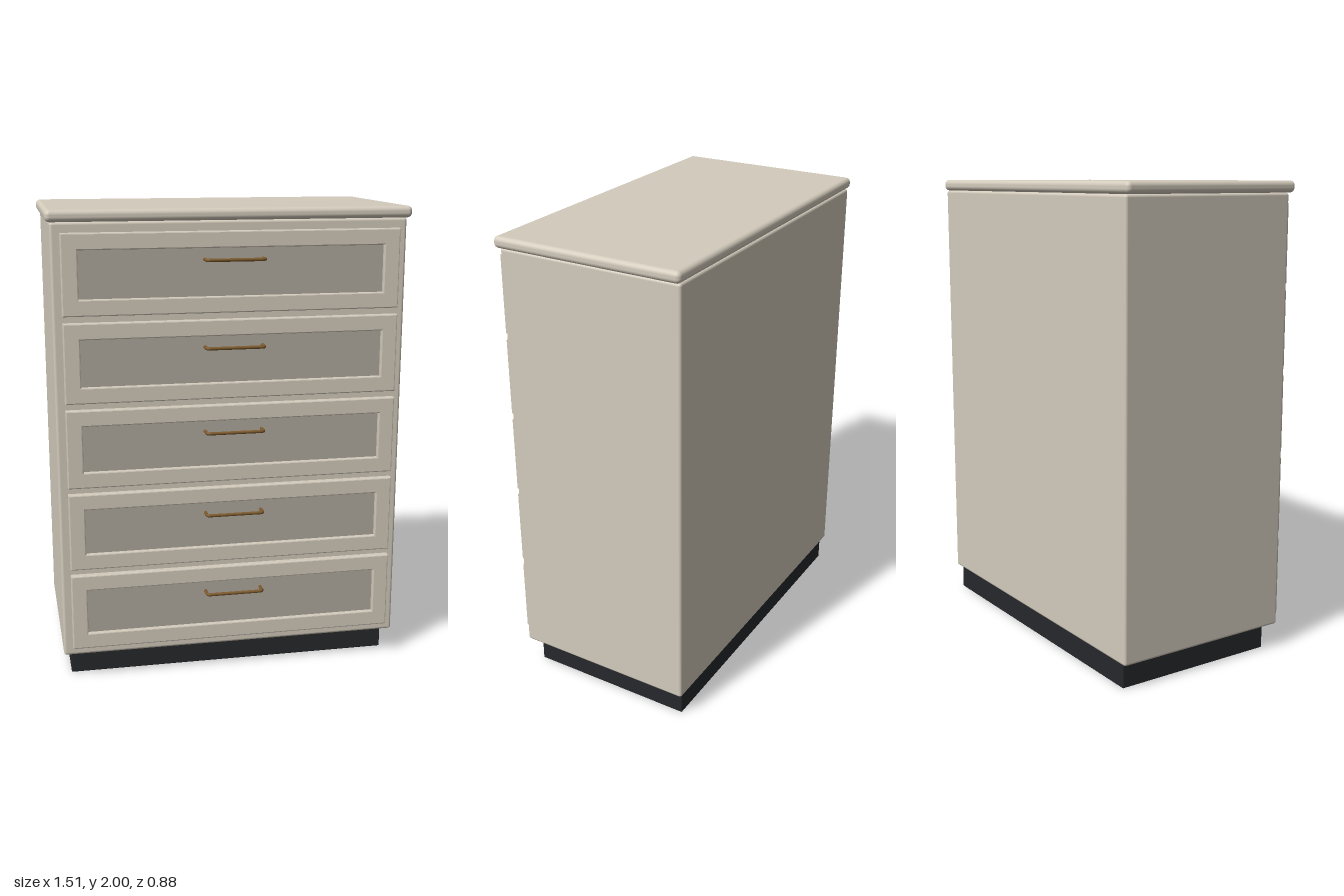
import * as THREE from 'three';
import { RoundedBoxGeometry } from 'three/addons/geometries/RoundedBoxGeometry.js';

const material = (color) => new THREE.MeshStandardMaterial({ color });

export function createModel() {
  const group = new THREE.Group();
  const paint = material(0xd3cbbc);
  const panelPaint = material(0xb1aa9e);
  const dark = material(0x26282b);
  const bronze = material(0x7d5a2c);

  const add = (parent, name, geometry, mat, x = 0, y = 0, z = 0) => {
    const mesh = new THREE.Mesh(geometry, mat);
    mesh.name = name;
    mesh.position.set(x, y, z);
    parent.add(mesh);
    return mesh;
  };
  // Rounded box given by its y and z extents, centred on x
  const block = (name, width, y0, y1, z0, z1, radius, mat) =>
    add(group, name, new RoundedBoxGeometry(width, y1 - y0, z1 - z0, 4, radius),
      mat, 0, (y0 + y1) / 2, (z0 + z1) / 2);

  block('plinth', 1.41, 0, 0.107, -0.42, 0.315, 0.004, dark);
  block('cabinetBody', 1.476, 0.107, 1.952, -0.435, 0.37, 0.012, paint);
  block('worktop', 1.512, 1.952, 2, -0.44, 0.39, 0.02, paint);

  // Drawer front: bevelled frame with a rectangular opening
  const W = 1.4, H = 0.33, inset = 0.067, bevel = 0.005, depth = 0.034;
  const rectangle = (path, w, h) => path
    .moveTo(-w / 2, -h / 2).lineTo(w / 2, -h / 2)
    .lineTo(w / 2, h / 2).lineTo(-w / 2, h / 2).closePath();
  const frameShape = rectangle(new THREE.Shape(), W, H);
  frameShape.holes.push(rectangle(new THREE.Path(), W - 2 * inset, H - 2 * inset));
  const frameGeometry = new THREE.ExtrudeGeometry(frameShape, {
    depth: depth - 2 * bevel, bevelEnabled: true, bevelThickness: bevel,
    bevelSize: bevel, bevelOffset: -bevel, bevelSegments: 2,
  });
  const panelGeometry = new THREE.BoxGeometry(W - 2 * inset + 0.01, H - 2 * inset + 0.01, 0.014);

  // Bow handle: round bar with two softly bent legs
  const v = (x, z) => new THREE.Vector3(x, 0, z);
  const hx = 0.121, hz = 0.053, bend = 0.014;
  const handlePath = new THREE.CurvePath();
  handlePath.add(new THREE.LineCurve3(v(-hx, 0), v(-hx, hz - bend)));
  handlePath.add(new THREE.QuadraticBezierCurve3(v(-hx, hz - bend), v(-hx, hz), v(-hx + bend, hz)));
  handlePath.add(new THREE.LineCurve3(v(-hx + bend, hz), v(hx - bend, hz)));
  handlePath.add(new THREE.QuadraticBezierCurve3(v(hx - bend, hz), v(hx, hz), v(hx, hz - bend)));
  handlePath.add(new THREE.LineCurve3(v(hx, hz - bend), v(hx, 0)));
  const handleGeometry = new THREE.TubeGeometry(handlePath, 120, 0.007, 10, false);

  // Five identical drawers
  for (let i = 0; i < 5; i++) {
    const drawer = new THREE.Group();
    drawer.name = `drawer${i + 1}`;
    drawer.position.set(0, 0.314 + i * 0.358, 0.37);
    add(drawer, 'drawerFrame', frameGeometry, paint, 0, 0, bevel);
    add(drawer, 'drawerPanel', panelGeometry, panelPaint, 0, 0, 0.008);
    add(drawer, 'handle', handleGeometry, bronze, 0, 0.052, 0.012);
    group.add(drawer);
  }
  return group;
}
